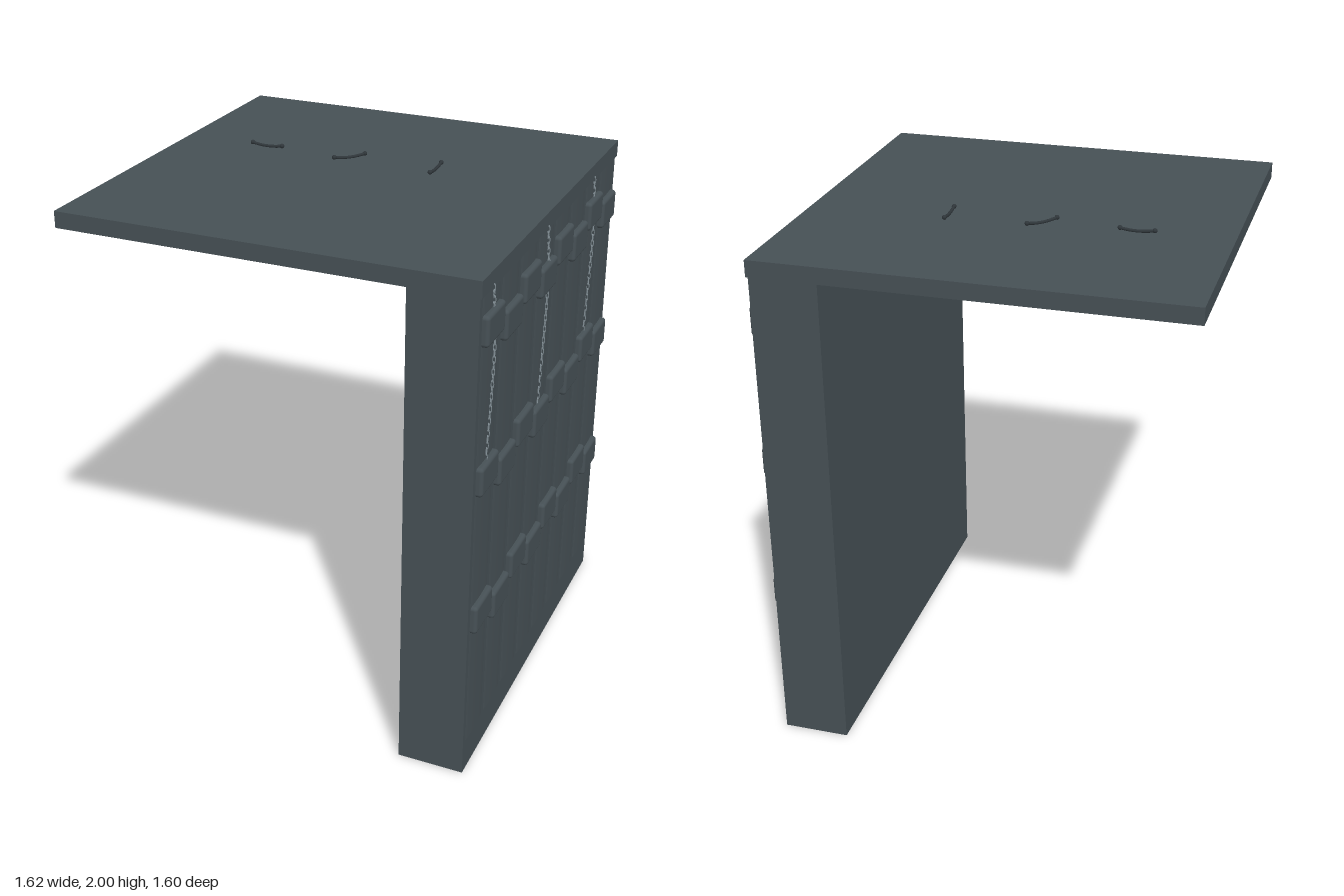
import * as THREE from 'three';
import { RoundedBoxGeometry } from 'three/addons/geometries/RoundedBoxGeometry.js';

function material(name, color) {
  const m = new THREE.MeshStandardMaterial({ color });
  m.name = name;
  return m;
}

export function createModel() {
  const model = new THREE.Group();
  model.name = 'stoneLedge';
  const slate = material('slate', 0x465055);
  const iron = material('darkIron', 0x2f363a);
  const steel = material('paleSteel', 0x87949b);

  function add(name, geometry, mat, x = 0, y = 0, z = 0, parent = model) {
    const mesh = new THREE.Mesh(geometry, mat);
    mesh.name = name;
    mesh.position.set(x, y, z);
    parent.add(mesh);
    return mesh;
  }

  // Overhanging slab and the wall below it
  add('topSlab', new THREE.BoxGeometry(1.597, 0.063, 1.6), slate, -0.0115, 1.9485, 0);
  add('wall', new THREE.BoxGeometry(0.255, 1.917, 1.59), slate, 0.6525, 0.9585, 0);

  // Eight columns: a shallow rounded rib and three staggered blocks each
  const ribShape = new THREE.CylinderGeometry(0.088, 0.088, 1.78, 20);
  ribShape.scale(0.06, 1, 1);
  const blockShape = new RoundedBoxGeometry(0.055, 0.113, 0.172, 3, 0.014);
  for (let i = 0; i < 8; i++) {
    const z = 0.685 - i * 0.1945;
    add('wallRib', ribShape, slate, 0.779, 1.026, z);
    for (const y of [1.79, 1.23, 0.668]) {
      add('wallBlock', blockShape, slate, 0.7775, y - (i % 2) * 0.056, z);
    }
  }

  // Thin hanging chains made of alternately turned links
  const linkShape = new THREE.TorusGeometry(0.0052, 0.0016, 5, 10);
  linkShape.scale(1, 2.6, 1);
  for (const [z, bottom] of [[0.685, 1.27], [0.105, 1.24], [-0.478, 1.27]]) {
    const chain = new THREE.Group();
    chain.name = 'hangingChain';
    model.add(chain);
    const path = new THREE.CatmullRomCurve3([
      new THREE.Vector3(0.787, 1.915, z),
      new THREE.Vector3(0.79, 1.7, z - 0.024),
      new THREE.Vector3(0.786, bottom, z + 0.008),
    ]);
    const count = Math.round(path.getLength() / 0.022);
    for (let i = 0; i <= count; i++) {
      const p = path.getPointAt(i / count);
      const link = add('chainLink', linkShape, steel, p.x, p.y, p.z, chain);
      link.rotation.y = (i % 2) * Math.PI / 2;
    }
  }

  // Small sagging rods with knobbed ends on the slab
  const rodPath = new THREE.QuadraticBezierCurve3(
    new THREE.Vector3(-0.064, 0.012, 0),
    new THREE.Vector3(0, -0.002, 0),
    new THREE.Vector3(0.064, 0.012, 0));
  const rodShape = new THREE.TubeGeometry(rodPath, 12, 0.006, 8);
  const knobShape = new THREE.SphereGeometry(0.009, 10, 8);
  for (const [x, angle] of [[-0.454, 0], [-0.1, 0.81], [0.255, -1.54]]) {
    const rod = new THREE.Group();
    rod.name = 'slabRod';
    rod.position.set(x, 1.979, -0.162);
    rod.rotation.y = angle;
    model.add(rod);
    add('rodBar', rodShape, iron, 0, 0, 0, rod);
    for (const s of [-1, 1]) add('rodKnob', knobShape, iron, s * 0.064, 0.012, 0, rod);
  }

  return model;
}
